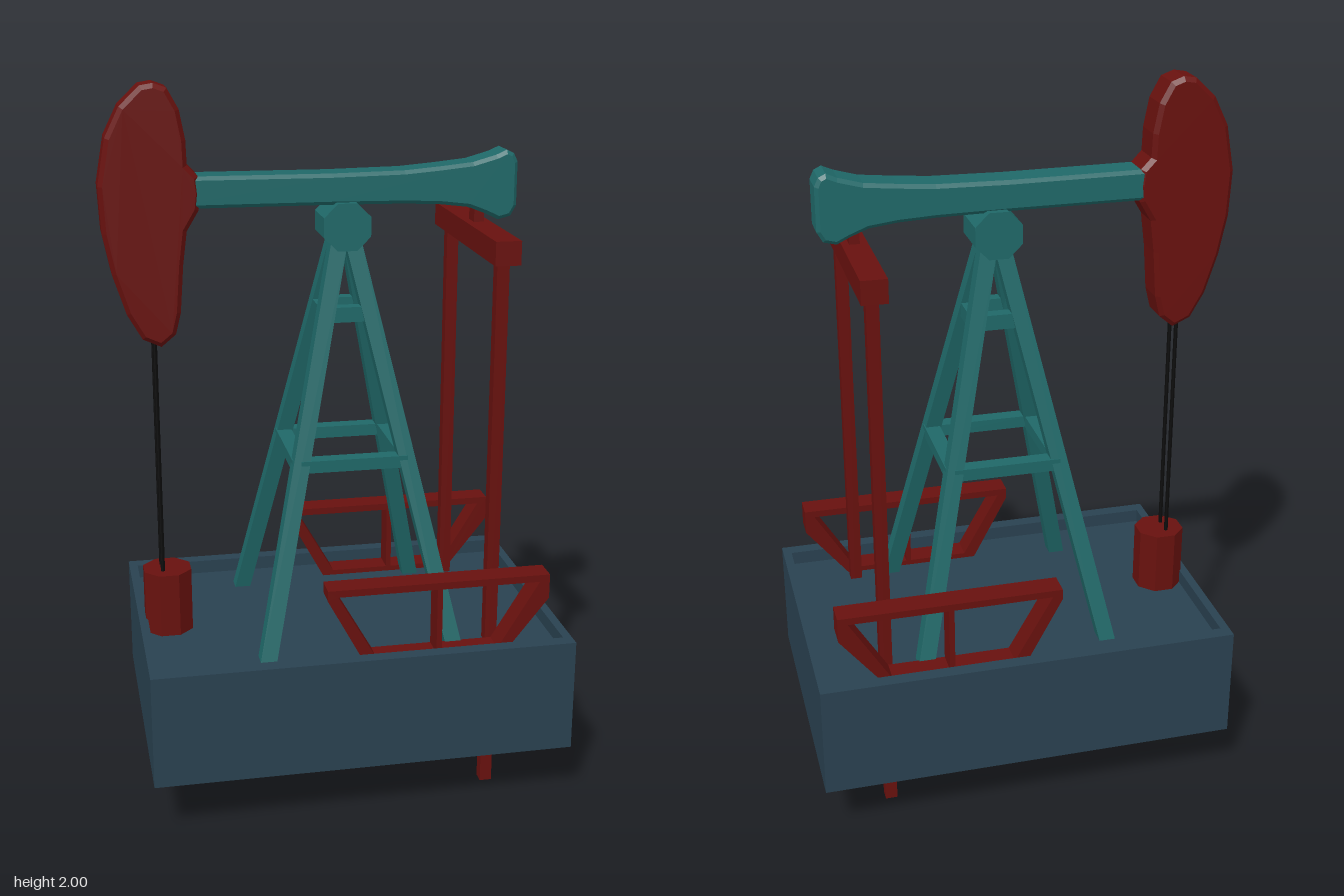
import * as THREE from 'three';

const mat = (color) => new THREE.MeshStandardMaterial({ color, flatShading: true });

export function createModel() {
  const root = new THREE.Group();
  const teal = mat(0x1f6868), red = mat(0x68110e), slate = mat(0x294150), black = mat(0x0b0b0b);

  const add = (name, geometry, material, x = 0, y = 0, z = 0, parent = root) => {
    const m = new THREE.Mesh(geometry, material);
    m.name = name;
    m.position.set(x, y, z);
    parent.add(m);
    return m;
  };
  // box given by its limits on each axis
  const box = (name, material, [x0, x1], [y0, y1], [z0, z1], parent = root) =>
    add(name, new THREE.BoxGeometry(x1 - x0, y1 - y0, z1 - z0), material,
      (x0 + x1) / 2, (y0 + y1) / 2, (z0 + z1) / 2, parent);
  const outline = (pts) => pts.map(([x, y]) => new THREE.Vector2(x, y));
  // profile in the xy plane, extruded to the given depth and centred on z = 0
  const slab = (pts, depth, bevel = 0, holes = []) => {
    const shape = new THREE.Shape(outline(pts));
    holes.forEach((h) => shape.holes.push(new THREE.Path(outline(h))));
    const g = new THREE.ExtrudeGeometry(shape, {
      depth: depth - 2 * bevel, bevelEnabled: bevel > 0, bevelSize: bevel,
      bevelThickness: bevel, bevelOffset: -bevel, bevelSegments: 1,
    });
    return g.translate(0, 0, bevel - depth / 2);
  };
  const rect = (x, y, cx = 0) => [[cx - x, -y], [cx + x, -y], [cx + x, y], [cx - x, y]];

  // base tray with a shallow recess
  const base = new THREE.Group();
  base.name = 'base';
  root.add(base);
  box('baseBlock', slate, [-0.56, 0.62], [0.165, 0.45], [-0.41, 0.41], base);
  const rim = slab(rect(0.59, 0.41, 0.03), 0.04, 0, [rect(0.565, 0.37, 0.03)]);
  add('baseRim', rim.rotateX(-Math.PI / 2), slate, 0, 0.47, 0, base);

  // tower: four leaning legs and two square rings of braces
  const tower = new THREE.Group();
  tower.name = 'tower';
  tower.position.x = 0.04;
  root.add(tower);
  const y0 = 0.44, y1 = 1.58;
  const spread = (y) => 0.266 - 0.219 * (y - y0);
  for (const sx of [-1, 1]) for (const sz of [-1, 1]) {
    const g = new THREE.BoxGeometry(0.046, y1 - y0, 0.046);
    g.translate(0, (y0 + y1) / 2, 0);
    const p = g.attributes.position;
    for (let i = 0; i < p.count; i++) {
      const s = spread(p.getY(i));
      p.setX(i, p.getX(i) + sx * s);
      p.setZ(i, p.getZ(i) + sz * s);
    }
    g.computeVertexNormals();
    add('towerLeg', g, teal, 0, 0, 0, tower);
  }
  for (const [y, h, w] of [[0.97, 0.034, 0.044], [1.372, 0.042, 0.036]]) {
    const s = spread(y);
    for (const side of [-1, 1]) {
      add('towerBrace', new THREE.BoxGeometry(2 * s, h, w), teal, 0, y, side * s, tower);
      add('towerBrace', new THREE.BoxGeometry(w, h, 2 * s), teal, side * s, y, 0, tower);
    }
  }

  // pivot on top of the tower
  const pivot = new THREE.CylinderGeometry(0.07, 0.07, 0.136, 8);
  add('pivot', pivot.rotateY(Math.PI / 8).rotateX(Math.PI / 2), teal, 0.038, 1.61, 0);

  // walking beam with flared tail
  add('beam', slab([
    [-0.42, 1.67], [0, 1.668], [0.2, 1.665], [0.3, 1.66], [0.38, 1.65], [0.43, 1.63],
    [0.465, 1.613], [0.5, 1.622], [0.516, 1.65], [0.516, 1.77], [0.505, 1.793],
    [0.485, 1.803], [0.455, 1.79], [0.39, 1.772], [0.3, 1.763], [0.2, 1.755], [0, 1.752], [-0.42, 1.755],
  ], 0.1, 0.01), teal);

  // curved head
  add('head', slab([
    [-0.47, 1.998], [-0.505, 1.992], [-0.56, 1.94], [-0.6, 1.86], [-0.623, 1.735], [-0.617, 1.61],
    [-0.595, 1.5], [-0.56, 1.39], [-0.52, 1.32], [-0.47, 1.297], [-0.43, 1.33], [-0.415, 1.39],
    [-0.405, 1.52], [-0.393, 1.61], [-0.36, 1.665], [-0.355, 1.71], [-0.36, 1.755], [-0.388, 1.785],
    [-0.39, 1.85], [-0.405, 1.93], [-0.435, 1.985],
  ].reverse(), 0.106, 0.012), red);

  // hanging rods and well cap
  for (const z of [-0.025, 0.025])
    add('rod', new THREE.CylinderGeometry(0.006, 0.006, 1.26, 8), black, -0.487, 0.71, z);
  add('wellCap', new THREE.CylinderGeometry(0.072, 0.072, 0.19, 8).rotateY(Math.PI / 8), red, -0.473, 0.54, 0);

  // rear gantry: two posts, a crossbar and a link up to the beam
  box('gantryBar', red, [0.38, 0.45], [1.54, 1.605], [-0.31, 0.31]);
  box('gantryLink', red, [0.402, 0.43], [1.6, 1.66], [-0.025, 0.025]);
  for (const s of [-1, 1])
    add('gantryPost', new THREE.BoxGeometry(0.034, 1.56, 0.034), red, 0.415, 0.78, s * 0.252);

  // open side frames with a centre strut
  const frame = slab([
    [0.04, 0.44], [0.425, 0.44], [0.556, 0.605], [0.556, 0.675], [-0.07, 0.675], [-0.07, 0.645],
  ], 0.07, 0, [
    [[0.066, 0.465], [0.236, 0.465], [0.236, 0.655], [-0.042, 0.655]],
    [[0.251, 0.465], [0.412, 0.465], [0.528, 0.655], [0.251, 0.655]],
  ]);
  for (const s of [-1, 1]) add('sideFrame', frame, red, 0, 0, s * 0.313);

  return root;
}
